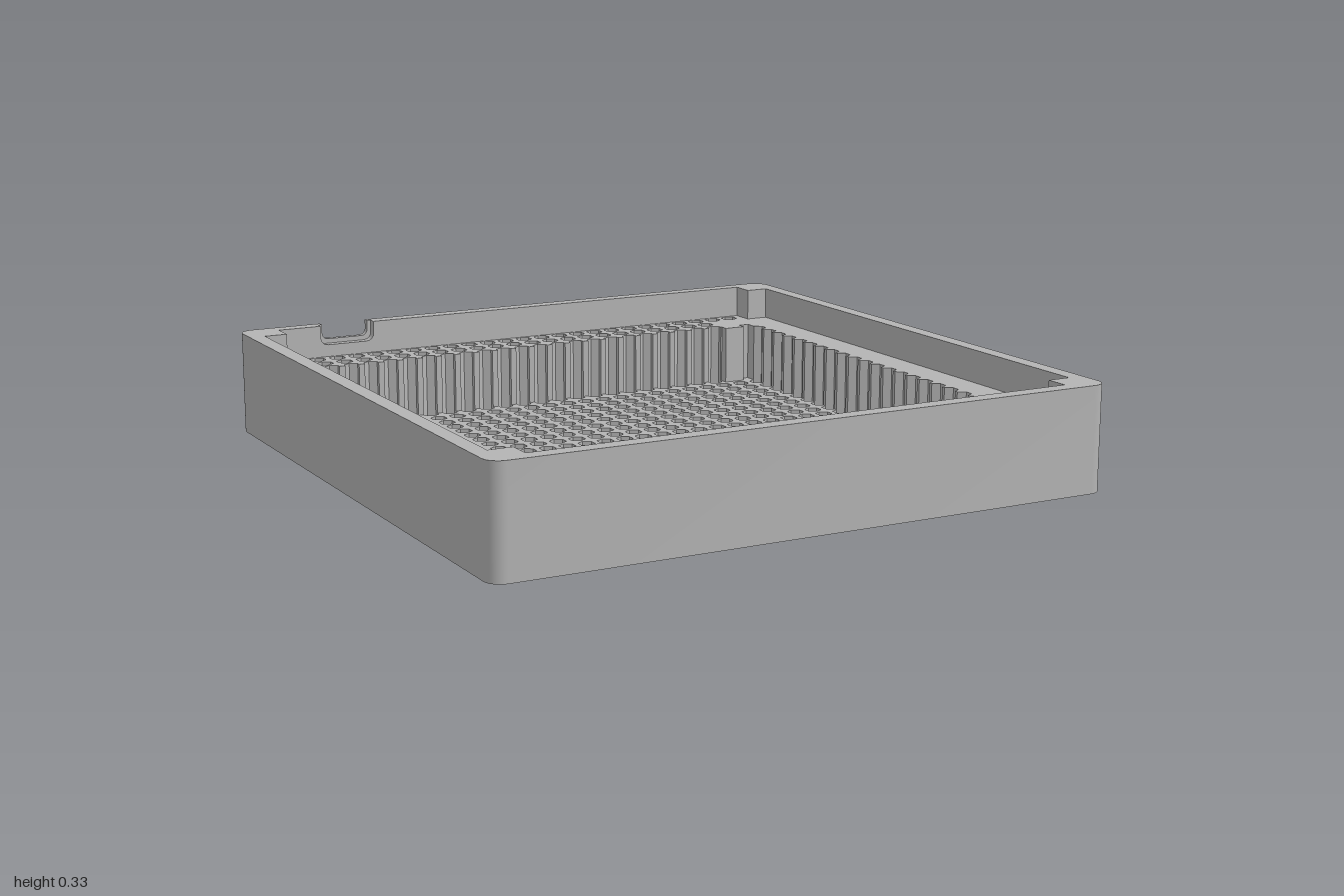
import * as THREE from 'three';
import { mergeGeometries, toCreasedNormals } from 'three/addons/utils/BufferGeometryUtils.js';

const H = 0.33, LEDGE = 0.225, FLOOR = 0.03;      // heights of rim, ledge and floor
const N = 25, PITCH = 0.0686, X0 = -0.823, Z0 = -0.922; // hole grid
const R = 0.028, A = R * Math.cos(Math.PI / 6);   // hexagon corner and flat radius
const FIRST = 2, LAST = 22;                       // grid rows on the pocket's back and front edge

// Strip of quads between two equally long rows of 3D points
function strip(p, q) {
  const out = [];
  for (let i = 0; i + 1 < p.length; i++) {
    out.push(...p[i], ...p[i + 1], ...q[i + 1], ...p[i], ...q[i + 1], ...q[i]);
  }
  const g = new THREE.BufferGeometry();
  g.setAttribute('position', new THREE.Float32BufferAttribute(out, 3));
  return g;
}

// Vertical wall along a plan path of [x, z] points
function wall(path, y0, y1, closed = true) {
  const pts = closed ? [...path, path[0]] : path;
  return strip(pts.map(([x, z]) => [x, y0, z]), pts.map(([x, z]) => [x, y1, z]));
}

// Horizontal face with holes, facing up or down
function cap(contour, holes, y, up = true) {
  const to2D = pts => pts.map(([x, z]) => new THREE.Vector2(x, up ? -z : z));
  const shape = new THREE.Shape(to2D(contour));
  shape.holes = holes.map(h => new THREE.Path(to2D(h)));
  return new THREE.ShapeGeometry(shape).rotateX(up ? -Math.PI / 2 : Math.PI / 2).translate(0, y, 0);
}

// Part of a hexagonal hole's outline, in 30 degree steps
function hexArc(i, j, from, to) {
  const pts = [];
  for (let d = from; d <= to; d += 30) {
    const corner = (((d - 30) % 60) + 60) % 60 === 0;
    if (!corner && d !== from && d !== to) continue;
    const r = corner ? R : A, t = d * Math.PI / 180;
    pts.push([X0 + i * PITCH + r * Math.cos(t), Z0 + j * PITCH + r * Math.sin(t)]);
  }
  return pts;
}

// Places left solid: two front posts and the back corner post
function hasHole(i, j) {
  const frontPost = (j === 22 || j === 23) && [1, 2, 22, 23].includes(i);
  const backPost = (j === 1 || j === 2) && i >= 23;
  return !frontPost && !backPost;
}

// Pocket outline, scalloped by the holes that lie on its edge
function pocketOutline() {
  const pts = [], zBack = Z0 + FIRST * PITCH;
  const add = (i, j, a, b) => { if (hasHole(i, j)) pts.push(...hexArc(i, j, a, b)); };
  for (let j = FIRST + 1; j < LAST; j++) add(N - 1, j, -90, 90);
  add(N - 1, LAST, -90, 180);
  for (let i = N - 2; i > 0; i--) add(i, LAST, 0, 180);
  add(0, LAST, 0, 270);
  for (let j = LAST - 1; j > FIRST; j--) add(0, j, 90, 270);
  add(0, FIRST, 90, 360);
  for (let i = 1; i < N - 1; i++) add(i, FIRST, 180, 360);
  // small block standing in the back corner
  pts.push([0.715, zBack], [0.715, -0.755], [0.788, -0.755], [0.788, zBack], [-X0, zBack]);
  return pts;
}

// Rounded U of the cable notch, as [x, y] from its left top to its right top
function notchProfile(xl, xr, yb, r) {
  const pts = [[xl, H]];
  for (let k = 0; k <= 4; k++) {
    const t = Math.PI + k * Math.PI / 8;
    pts.push([xl + r + r * Math.cos(t), yb + r + r * Math.sin(t)]);
  }
  for (let k = 0; k <= 4; k++) {
    const t = 1.5 * Math.PI + k * Math.PI / 8;
    pts.push([xr - r + r * Math.cos(t), yb + r + r * Math.sin(t)]);
  }
  return [...pts, [xr, H]];
}

export function createModel() {
  const group = new THREE.Group();
  const grey = new THREE.MeshStandardMaterial({ color: 0xb4b4b4, side: THREE.DoubleSide });
  grey.name = 'grey plastic';
  const add = (name, geometry, creased = true) => {
    const mesh = new THREE.Mesh(creased ? toCreasedNormals(geometry, 0.5) : geometry, grey);
    mesh.name = name;
    group.add(mesh);
  };

  // Plan paths
  const NL = -0.715, NR = -0.555, WL = -0.73, WR = -0.542; // notch sides, outer and inner
  const ZR = -0.953, ZS = -0.98;                           // recess back wall, notch step
  const corners = [];
  const cr = 0.05;
  [[-1, -1, 90], [-1, 1, 180], [1, 1, 270], [1, -1, 0]].forEach(([sx, sz, start]) => {
    for (let k = 0; k <= 8; k++) {
      const t = (start + k * 11.25) * Math.PI / 180;
      corners.push([sx * (1 - cr) + cr * Math.cos(t), sz * (1 - cr) - cr * Math.sin(t)]);
    }
  });
  const outer = [[NL, -1], ...corners, [NR, -1]];
  const S = 0.95, P = 0.875;
  const recess = [
    [WR, ZR], [P, ZR], [P, -P], [S, -P], [S, P], [P, P], [P, S],
    [-P, S], [-P, P], [-S, P], [-S, -P], [-P, -P], [-P, ZR], [WL, ZR],
  ];
  const pocket = pocketOutline();

  // Sort the holes into floor holes and taller ledge holes
  const floorHoles = [], ledgeHoles = [];
  for (let j = 0; j < N; j++) {
    for (let i = 0; i < N; i++) {
      if (!hasHole(i, j)) continue;
      const hex = hexArc(i, j, 30, 330);
      (j < FIRST || j > LAST ? ledgeHoles : floorHoles).push(hex);
    }
  }

  // Outer shell
  add('outerWall', wall(outer, 0, H, false));
  add('underside', cap(corners, [...floorHoles, ...ledgeHoles], 0, false), false);
  add('rimTop', cap([...outer, [NR, ZS], [WR, ZS], ...recess, [WL, ZS], [NL, ZS]], [], H), false);
  add('recessWall', wall(recess, LEDGE, H, false));

  // Ledge, pocket and perforated floor
  add('ledge', cap(recess, [pocket, ...ledgeHoles], LEDGE), false);
  add('pocketWall', wall(pocket, FLOOR, LEDGE));
  const m = PITCH / 2, zb = Z0 + FIRST * PITCH - m, zf = Z0 + LAST * PITCH + m;
  add('floor', cap([[X0 - m, zb], [-X0 + m, zb], [-X0 + m, zf], [X0 - m, zf]], floorHoles, FLOOR), false);
  add('floorHoleWalls', mergeGeometries(floorHoles.map(h => wall(h, 0, FLOOR))));
  add('ledgeHoleWalls', mergeGeometries(ledgeHoles.map(h => wall(h, 0, LEDGE))));

  // Stepped cable notch in the back rim
  const narrow = notchProfile(NL, NR, 0.28, 0.02), wide = notchProfile(WL, WR, 0.265, 0.025);
  const at = (profile, z) => profile.map(([x, y]) => [x, y, z]);
  const drop = (profile, y, z) => profile.map(([x]) => [x, y, z]);
  const low = narrow.slice(1, -1).reverse(), lowWide = wide.slice(1, -1);
  add('cableNotch', mergeGeometries([
    strip(at(narrow, ZS), at(narrow, -1)),
    strip(at(wide, ZR), at(wide, ZS)),
    strip(at(wide, ZS), at(narrow, ZS)),
    strip(drop(low, 0, -1), at(low, -1)),
    strip(drop(lowWide, LEDGE, ZR), at(lowWide, ZR)),
  ]));
  return group;
}
